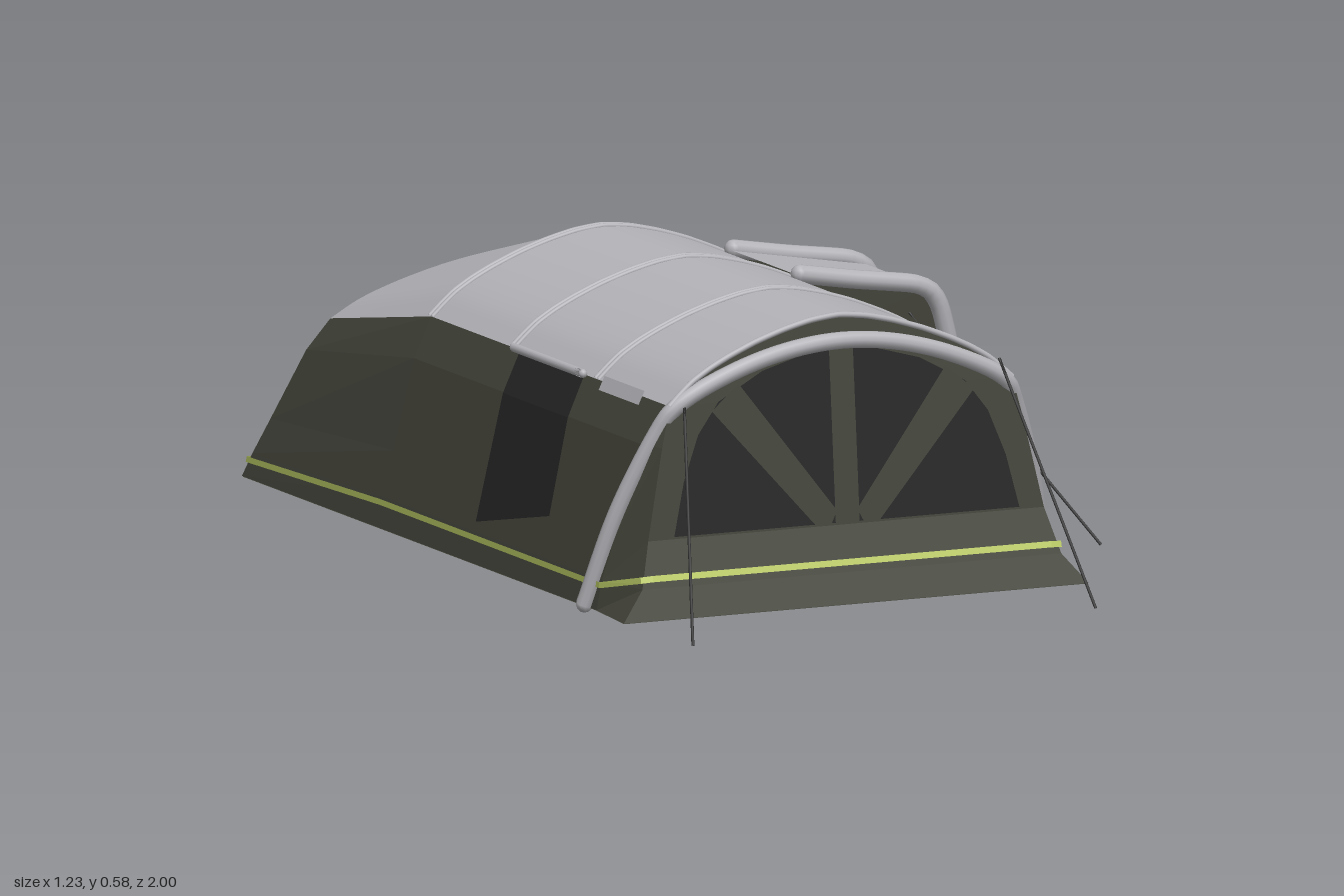
import * as THREE from 'three';

const CX = -0.107; // centre line of the main tent
const mat = (name, color, side = THREE.DoubleSide) => {
  const m = new THREE.MeshStandardMaterial({ color, side });
  m.name = name;
  return m;
};

export function createModel() {
  const olive = mat('olive fabric', 0x44453b);
  const grey = mat('grey fabric', 0xb4b4b9);
  const dark = mat('dark mesh', 0x262627);
  const lime = mat('lime piping', 0xbfd068);
  const cord = mat('guy cord', 0x303030);
  const root = new THREE.Group();
  const v = (x, y, z) => new THREE.Vector3(x, y, z);

  const add = (name, geo, m, parent = root) => {
    const mesh = new THREE.Mesh(geo, m);
    mesh.name = name;
    parent.add(mesh);
    return mesh;
  };
  // Skin through rows of equally many points
  const loft = (rows, smooth = false) => {
    const n = rows[0].length, idx = [];
    for (let r = 0; r < rows.length - 1; r++)
      for (let i = 0; i < n - 1; i++) {
        const a = r * n + i, b = a + n;
        idx.push(a, b, a + 1, a + 1, b, b + 1);
      }
    let g = new THREE.BufferGeometry().setFromPoints(rows.flat());
    g.setIndex(idx);
    if (!smooth) g = g.toNonIndexed();
    g.computeVertexNormals();
    return g;
  };
  const tube = (name, pts, r, m, caps = true, tension = 0.3) => {
    const g = new THREE.Group();
    g.name = name;
    const curve = new THREE.CatmullRomCurve3(pts, false, 'catmullrom', tension);
    add(name + 'Run', new THREE.TubeGeometry(curve, pts.length * 6, r, 10), m, g);
    if (caps) for (const p of [pts[0], pts[pts.length - 1]])
      add(name + 'End', new THREE.SphereGeometry(r, 10, 6), m, g).position.copy(p);
    root.add(g);
  };
  const mirrored = (half) => [...half.map(([x, ...q]) => [-x, ...q]), ...half.slice(0, -1).reverse()];

  // Profiles: [distance from centre line, height]
  const wall = [[0.49, 0.01], [0.478, 0.07], [0.455, 0.16], [0.41, 0.34], [0.372, 0.42]];
  const roofHalf = [[0.372, 0.42], [0.32, 0.465], [0.24, 0.508], [0.12, 0.551], [0, 0.571]];
  const front = [[0.505, 0.01, 0.755], [0.455, 0.07, 0.735], [0.43, 0.16, 0.709], [0.392, 0.34, 0.693], [0.372, 0.42, 0.686]];
  const frontZ = (y) => (y >= 0.16 ? 0.709 - (y - 0.16) * 0.09 : 0.735 - (y - 0.07) * 0.289);
  const wallX = (y) => {
    let i = 0;
    while (i < wall.length - 2 && y > wall[i + 1][1]) i++;
    const [a, b] = [wall[i], wall[i + 1]];
    return a[0] + ((b[0] - a[0]) * (y - a[1])) / (b[1] - a[1]);
  };
  const backY = (y) => 0.01 + (y - 0.01) * 0.805;
  const backZ = (y) => -1 + (backY(y) - 0.01) * 0.467;
  const arc = new THREE.CatmullRomCurve3(mirrored(roofHalf).map(([x, y]) => v(CX + x, y, 0))).getPoints(32);

  // Roof: straight run, then a falling rear section
  const mid = arc.map((p) => v(p.x, p.y, -0.39));
  add('mainRoof', loft([arc.map((p) => v(p.x, p.y, frontZ(p.y))), mid], true), grey);
  add('rearRoof', loft([mid, arc.map((p) => v(p.x, backY(p.y), backZ(p.y)))], true), grey);
  for (const z of [0.367, 0.352, -0.013, -0.028, -0.383, -0.397])
    tube('roofRib', arc.filter((p, i) => i % 2 === 0).map((p) => v(p.x, p.y + 0.001, z)), 0.005, grey, false);
  tube('roofBrim', arc.filter((p, i) => i % 2 === 0).map((p) => v(p.x, p.y, frontZ(p.y))), 0.006, grey, false);

  // Front and rear walls
  const frontRows = [...front, ...roofHalf.slice(1).map(([x, y]) => [x, y, frontZ(y)])];
  add('frontWall', loft(frontRows.map(([x, y, z]) => [v(CX - x, y, z), v(CX + x, y, z)])), olive);
  add('rearWall', loft([...wall, ...roofHalf.slice(1)].map(([x, y]) =>
    [v(CX - x, backY(y), backZ(y)), v(CX + x, backY(y), backZ(y))])), olive);

  for (const s of [-1, 1]) {
    const at = (x, y, z) => v(CX + s * x, y, z);
    const side = s < 0 ? 'right' : 'left';
    add(side + 'Wall', loft([
      front.map((p) => at(...p)),
      wall.map(([x, y], i) => at(x, y, [0.6, 0.6, 0.615, 0.65, 0.686][i])),
      wall.map(([x, y]) => at(x, y, -0.39)),
      wall.map(([x, y]) => at(x, backY(y), backZ(y))),
    ]), olive);
    // Side window with rolled blind and roof edge flap
    const out = (y, z, d = 0.005) => at(wallX(y) + d, y, z);
    add(side + 'Window', loft([
      [out(0.415, 0.31), out(0.415, 0.02)], [out(0.34, 0.315), out(0.34, 0.022)],
      [out(0.16, 0.329), out(0.16, 0.027)], [out(0.15, 0.33), out(0.09, 0.03)],
    ]), dark);
    tube(side + 'Blind', [at(0.38, 0.424, 0.31), at(0.38, 0.424, 0)], 0.009, grey);
    add(side + 'RoofFlap', loft([[out(0.432, 0.57), out(0.432, 0.39)], [out(0.405, 0.57), out(0.405, 0.39)]]), grey);
    // Front guy line
    const end = s < 0 ? v(-0.58, 0.005, 1) : v(0.305, 0.005, 0.98);
    tube(side + 'GuyLine', [s < 0 ? v(-0.45, 0.43, 0.69) : v(0.235, 0.46, 0.69), end], 0.003, cord, false);
  }

  // Front window and its crossing bars
  const plate = (name, pts, off, m) => {
    const g = new THREE.ShapeGeometry(new THREE.Shape(pts.map(([x, y]) => new THREE.Vector2(CX + x, y))));
    const p = g.attributes.position;
    for (let i = 0; i < p.count; i++) p.setZ(i, frontZ(p.getY(i)) + off);
    g.computeVertexNormals();
    add(name, g, m);
  };
  plate('frontWindow', mirrored([[0.375, 0.165], [0.35, 0.27], [0.315, 0.36], [0.268, 0.422], [0.17, 0.475], [0.08, 0.5], [0, 0.508]]), 0.004, dark);
  plate('centreBar', [[-0.026, 0.165], [0.026, 0.165], [0.026, 0.515], [-0.026, 0.515]], 0.008, olive);
  for (const s of [-1, 1])
    plate('diagonalBar', [[s * 0.035, 0.165], [s * 0.07, 0.165], [s * 0.285, 0.405], [s * 0.225, 0.455], [s * 0.022, 0.19]], 0.008, olive);

  // Inflated front arch
  tube('frontArch', mirrored([[0.497, 0.016, 0.56], [0.453, 0.2, 0.612], [0.392, 0.36, 0.662], [0.35, 0.423, 0.684],
    [0.24, 0.477, 0.689], [0.12, 0.511, 0.689], [0, 0.523, 0.689]]).map(([x, y, z]) => v(CX + x, y, z)), 0.017, grey, true, 0.5);

  // Piping all round the foot of the tent: [offset, height, z]
  const pipe = [[0.433, 0.09, 0.737], [0.457, 0.088, 0.732], [0.486, 0.06, 0.604], [0.485, 0.06, -0.39], [0.486, 0.045, -0.989]];
  const loop = [...pipe, ...pipe.slice().reverse().map(([x, y, z]) => [-x, y, z]), pipe[0]];
  add('footPiping', loft(loop.map(([x, y, z]) => {
    const slope = z > 0.7 ? -0.0018 : z < -0.9 ? 0.0025 : 0;
    return [v(CX + x, y - 0.006, z - slope), v(CX + x, y + 0.006, z + slope)];
  })), lime);

  // Side porch: sloping roof, outer wall and two end walls
  const porchZ = (y, rear) => {
    const t = Math.max(0, (0.475 - y) / 0.46);
    return rear ? -0.285 - 0.09 * t : 0.005 - 0.035 * t;
  };
  const span = (x, y) => [v(x, y, porchZ(y, false)), v(x, y, porchZ(y, true))];
  add('porchRoof', loft([span(0.12, 0.522), span(0.41, 0.472)]), grey);
  add('porchWall', loft([span(0.41, 0.472), span(0.44, 0.4), span(0.54, 0.01)]), olive);
  for (const rear of [false, true])
    add(rear ? 'porchRearWall' : 'porchFrontWall', loft([[0.12, 0.41, 0.522, 0.472], [0.2, 0.44, 0.4, 0.4], [0.3, 0.54, 0.01, 0.01]]
      .map(([a, b, ya, yb]) => [v(a, ya, porchZ(ya, rear)), v(b, yb, porchZ(yb, rear))])), olive);
  add('porchDoor', loft([[v(0.441, 0.415, -0.05), v(0.441, 0.415, -0.25)], [v(0.536, 0.045, -0.05), v(0.536, 0.045, -0.25)]]), olive);
  const hem = [[0.37, -0.021], [0.533, -0.021], [0.533, -0.371], [0.37, -0.371]];
  add('porchPiping', loft(hem.map(([x, z]) => [v(x + 0.003, 0.053, z), v(x, 0.066, z)])), lime);
  for (const rear of [false, true])
    tube(rear ? 'porchRearPole' : 'porchFrontPole', [[0.13, 0.522], [0.25, 0.502], [0.375, 0.484], [0.415, 0.465], [0.44, 0.42], [0.495, 0.22], [0.553, 0.019]]
      .map(([x, y]) => v(x, y, porchZ(y, rear) + (rear ? -0.006 : 0.004))), 0.019, grey);
  tube('porchGuyLine', [v(0.37, 0.425, 0.005), v(0.61, 0.005, 0.37)], 0.003, cord, false);

  // Groundsheets
  add('groundsheet', loft([[v(CX - 0.505, 0.009, 0.755), v(CX + 0.505, 0.009, 0.755)],
    [v(CX - 0.49, 0.009, 0.6), v(CX + 0.49, 0.009, 0.6)], [v(CX - 0.49, 0.009, -1), v(CX + 0.49, 0.009, -1)]]), olive);
  add('porchGroundsheet', loft([[v(0.38, 0.009, -0.03), v(0.54, 0.009, -0.03)], [v(0.38, 0.009, -0.375), v(0.54, 0.009, -0.375)]]), olive);
  return root;
}
